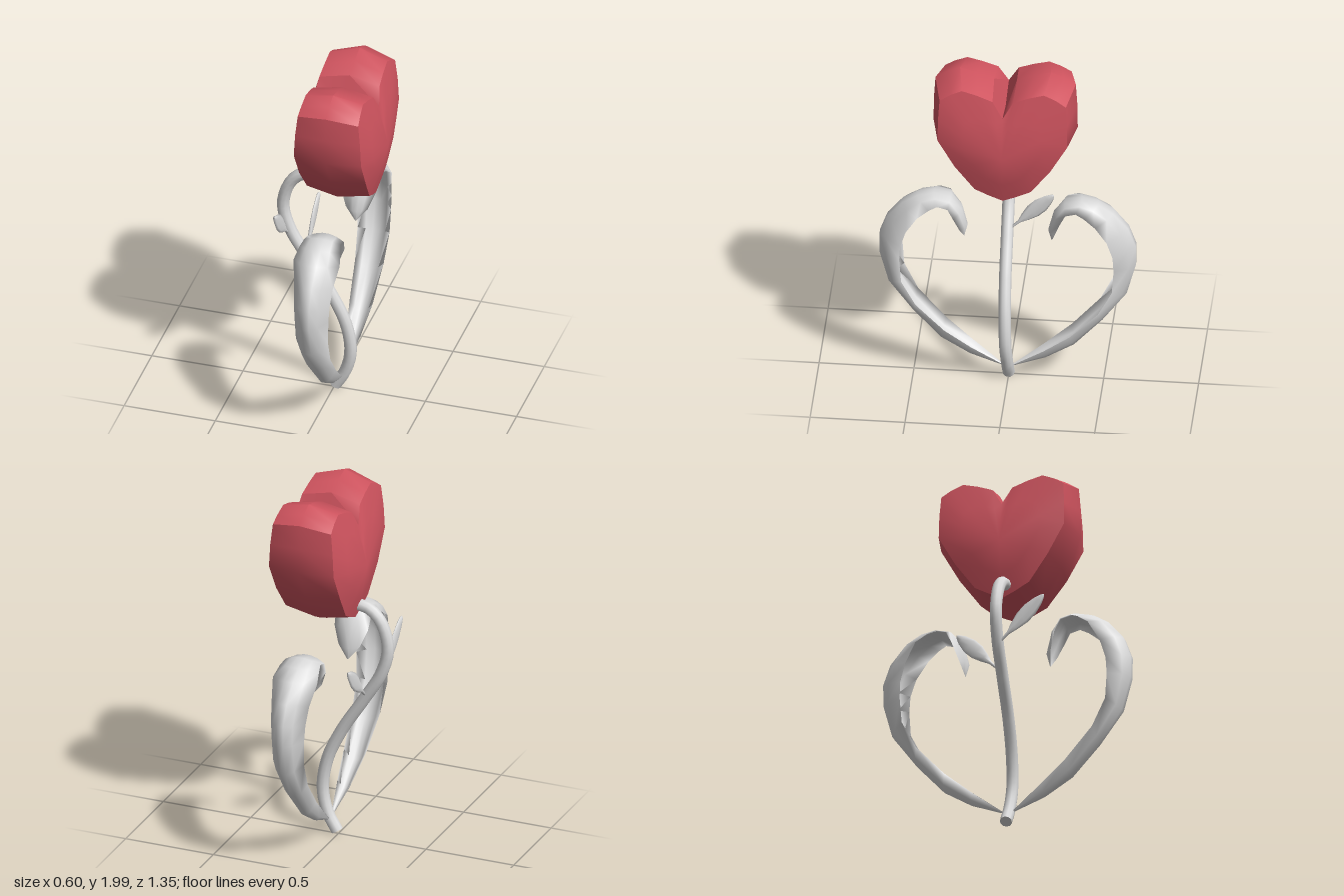
import * as THREE from 'three';
import { toCreasedNormals } from 'three/addons/utils/BufferGeometryUtils.js';

const V = (x, y, z) => new THREE.Vector3(x, y, z);

// Skin closed rings of equal length; collapsed end rings act as tips. Faces always point outward.
function loft(rings) {
  const n = rings[0].length, pts = rings.flat(), index = [];
  for (let i = 0; i < rings.length - 1; i++) {
    for (let j = 0; j < n; j++) {
      const a = i * n + j, b = i * n + (j + 1) % n, c = a + n, d = b + n;
      if (i > 0) index.push(a, b, c);
      if (i < rings.length - 2) index.push(b, d, c);
      else if (i > 0) continue;
      else index.push(b, d, c);
    }
  }
  const centre = pts.reduce((s, p) => s.add(p), V(0, 0, 0)).divideScalar(pts.length);
  let volume = 0;
  for (let i = 0; i < index.length; i += 3) {
    const [a, b, c] = [0, 1, 2].map(k => pts[index[i + k]].clone().sub(centre));
    volume += a.dot(b.cross(c));
  }
  if (volume < 0) index.reverse();
  const geo = new THREE.BufferGeometry().setFromPoints(pts);
  geo.setIndex(index);
  geo.computeVertexNormals();
  return geo;
}

// Heart: outline rings in the zy plane, stacked along x and domed on both faces
function heartGeometry() {
  const cx = 0.07, cz = 0.01, cy = 1.58;
  const half = [[0.06, 1.94], [0.15, 1.975], [0.24, 2.0], [0.31, 1.97], [0.37, 1.93], [0.378, 1.8],
    [0.38, 1.66], [0.28, 1.48], [0.165, 1.32], [0.08, 1.275]];
  const outline = [[0, 1.77], ...half, [0, 1.24], ...half.map(([z, y]) => [-z, y]).reverse()];
  const ring = (side, scale, offset, bend, valley) => outline.map(([z, y], i) => {
    const dy = (y - 1.6) / 0.4;
    return V(cx + side * (offset - bend * dy * dy),
      i === 0 ? valley : cy + (y - cy) * scale, cz + z * scale);
  });
  const face = side => [
    ring(side, 0, 0.23, 0, cy),
    ring(side, 0.55, 0.212, 0.022, 1.7),
    ring(side, 0.9, 0.185, 0.028, 1.81),
  ];
  return toCreasedNormals(loft([...face(1), ring(0, 1, 0, 0, 1.77), ...face(-1).reverse()]), 0.75);
}

// Big leaf: midrib outside, edges curled inward. Rows: midrib z, y, edge z, y, half width
const leafRows = [
  [0.02, 0.09, 0.02, 0.095, 0.004],
  [0.2, 0.16, 0.19, 0.22, 0.04],
  [0.35, 0.255, 0.33, 0.335, 0.063],
  [0.5, 0.425, 0.48, 0.5, 0.078],
  [0.63, 0.605, 0.555, 0.65, 0.088],
  [0.68, 0.79, 0.565, 0.79, 0.093],
  [0.68, 0.91, 0.56, 0.88, 0.098],
  [0.64, 1.02, 0.53, 0.98, 0.107],
  [0.56, 1.115, 0.47, 1.085, 0.126],
  [0.48, 1.165, 0.41, 1.13, 0.112],
  [0.39, 1.185, 0.365, 1.15, 0.1],
  [0.3, 1.165, 0.31, 1.135, 0.1],
  [0.24, 1.09, 0.28, 1.07, 0.095],
  [0.212, 0.98, 0.25, 0.98, 0.06],
  [0.23, 0.91, 0.232, 0.91, 0.003],
];
function leafGeometry(side) {
  const cx = 0.047, us = [-1, -0.6, -0.2, 0.2, 0.6, 1];
  const rings = leafRows.map(([mz, my, ez, ey, w]) => {
    const at = (u, k) => {
      const t = k + (1 - k) * u * u;
      return V(cx + w * u, my + (ey - my) * t, side * (mz + (ez - mz) * t));
    };
    return [...us.map(u => at(u, 0)), ...us.slice(1, -1).reverse().map(u => at(u, 0.3))];
  });
  const tip = r => r.map(() => r.reduce((s, p) => s.add(p), V(0, 0, 0)).divideScalar(r.length));
  return loft([tip(rings[0]), ...rings, tip(rings[rings.length - 1])]);
}

// Small leaf: flat blade on a thin stalk, lying in the zy plane
function bladeGeometry(x, y0, z0, y1, z1) {
  const dir = V(0, y1 - y0, z1 - z0), across = V(0, -dir.z, dir.y).normalize();
  const profile = [[0, 0], [0.02, 0.007], [0.18, 0.009], [0.32, 0.026], [0.5, 0.042],
    [0.68, 0.043], [0.86, 0.028], [0.96, 0.012], [1, 0]];
  return loft(profile.map(([t, w]) => Array.from({ length: 8 }, (_, i) => {
    const a = i / 8 * Math.PI * 2;
    return V(x, y0, z0).addScaledVector(dir, t)
      .addScaledVector(across, w * Math.cos(a))
      .add(V(Math.min(w, 0.01) * Math.sin(a), 0, 0));
  })));
}

export function createModel() {
  const group = new THREE.Group();
  const red = new THREE.MeshStandardMaterial({ color: 0xd0545f });
  red.name = 'petal red';
  const grey = new THREE.MeshStandardMaterial({ color: 0xdadada });
  grey.name = 'pale grey';
  const add = (name, geo, mat) => {
    const mesh = new THREE.Mesh(geo, mat);
    mesh.name = name;
    group.add(mesh);
  };

  add('heartBloom', heartGeometry(), red);

  // Curving stem with closed ends
  const path = new THREE.CatmullRomCurve3([
    V(0.007, 0.025, 0), V(0.06, 0.115, 0.003), V(0.093, 0.25, 0.01), V(0.07, 0.42, 0.015),
    V(-0.01, 0.6, 0.02), V(-0.135, 0.8, 0.022), V(-0.235, 0.97, 0.023), V(-0.272, 1.12, 0.025),
    V(-0.23, 1.265, 0.027), V(-0.16, 1.33, 0.028), V(-0.08, 1.345, 0.028)]);
  const radius = 0.033;
  add('stem', new THREE.TubeGeometry(path, 40, radius, 10), grey);
  for (const [name, t, sign] of [['stemBase', 0, -1], ['stemTop', 1, 1]]) {
    const cap = new THREE.CircleGeometry(radius, 10);
    const out = path.getTangent(t).multiplyScalar(sign);
    cap.applyQuaternion(new THREE.Quaternion().setFromUnitVectors(V(0, 0, 1), out));
    const p = path.getPoint(t);
    add(name, cap.translate(p.x, p.y, p.z), grey);
  }

  add('frontLeaf', leafGeometry(1), grey);
  add('backLeaf', leafGeometry(-1), grey);
  add('upperSmallLeaf', bladeGeometry(-0.243, 0.95, 0.04, 1.195, 0.28), grey);
  add('lowerSmallLeaf', bladeGeometry(-0.15, 0.84, 0.0, 1.06, -0.225), grey);
  return group;
}
